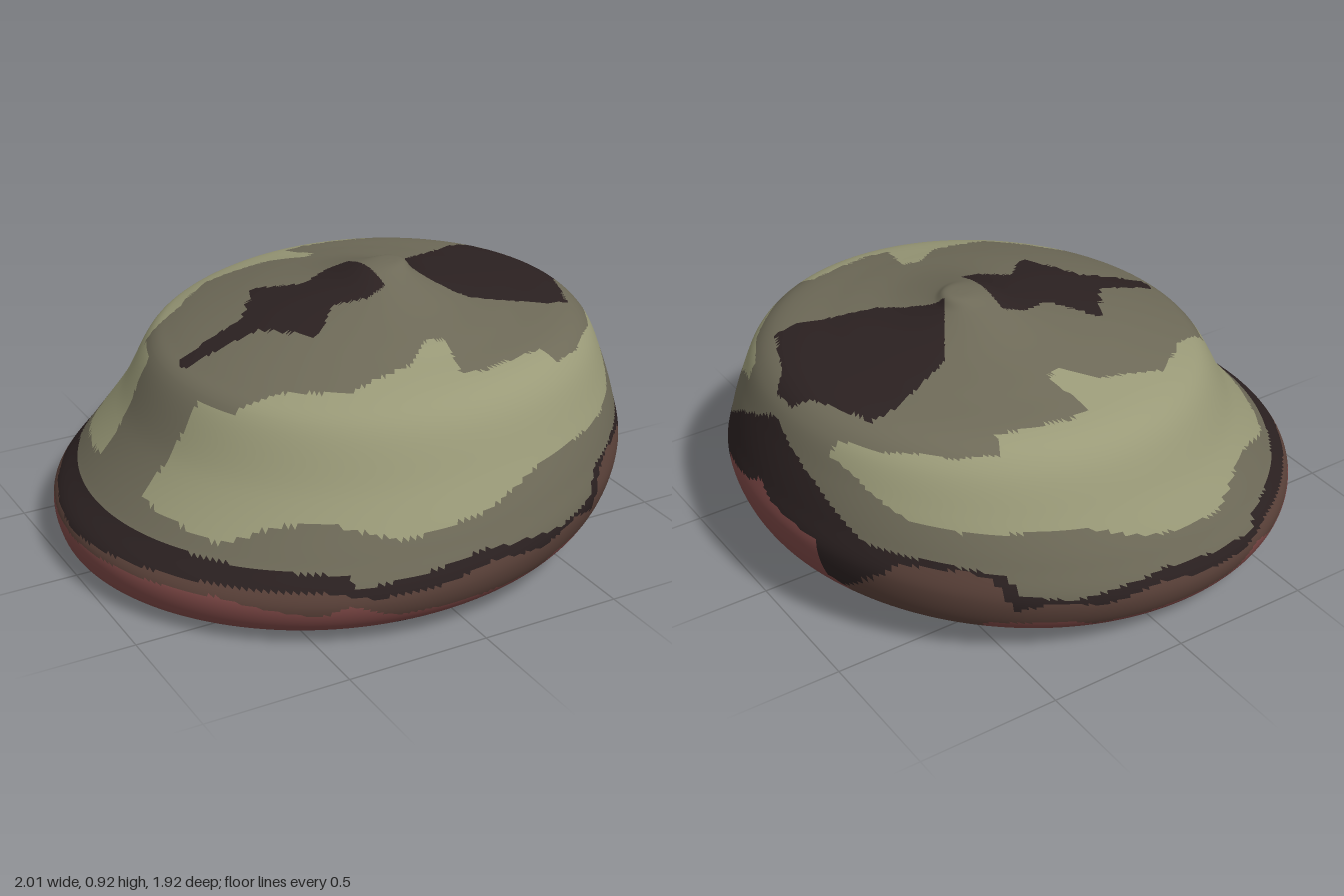
import * as THREE from 'three';

const COLORS = {
  paleGreen: 0x9a9a78,
  olive: 0x6e6a58,
  darkBrown: 0x2b2121,
  brown: 0x5a4139,
  dullRed: 0x7c4745,
};
const NAMES = Object.keys(COLORS);

// Cross-section stations from the open bottom rim up to the peak:
// left x, left y, half depth, side y, right x, right y
const STATIONS = [
  [-0.42, 0.0, 0.5, 0.0, 0.55, 0.0],
  [-0.97, 0.04, 0.82, 0.04, 0.77, 0.09],
  [-1.0, 0.09, 0.92, 0.1, 0.93, 0.18],
  [-1.0, 0.17, 0.96, 0.2, 1.0, 0.36],
  [-0.9, 0.27, 0.92, 0.34, 0.98, 0.47],
  [-0.75, 0.45, 0.85, 0.5, 0.94, 0.6],
  [-0.63, 0.66, 0.77, 0.67, 0.89, 0.715],
  [-0.55, 0.705, 0.7, 0.73, 0.82, 0.77],
  [-0.3, 0.795, 0.5, 0.785, 0.6, 0.8],
  [0.0, 0.865, 0.28, 0.835, 0.4, 0.83],
  [0.1, 0.905, 0.1, 0.895, 0.29, 0.88],
  [0.16, 0.917, 0.05, 0.916, 0.26, 0.915],
  [0.21, 0.92, 0.0, 0.92, 0.21, 0.92],
];

// Upper edge of each colour band: [degrees from the +x end, height]
const BANDS = [
  ['darkBrown', [[0, 0.1], [8, 0.09], [10, 0.045], [50, 0.035], [90, 0.035], [93, 0.07], [102, 0.07],
    [107, 0.035], [150, 0.04], [180, 0.045]]],
  ['dullRed', [[0, 0.46], [4, 0.42], [18, 0.38], [19, 0.22], [22, 0.2], [25, 0.11], [48, 0.11], [52, 0.18],
    [68, 0.17], [72, 0.13], [105, 0.12], [115, 0.17], [120, 0.13], [140, 0.17], [180, 0.15]]],
  ['brown', [[0, 0.46], [4, 0.42], [18, 0.38], [19, 0.22], [22, 0.2], [28, 0.28], [37, 0.39], [50, 0.39],
    [55, 0.36], [58, 0.24], [65, 0.27], [75, 0.23], [88, 0.25], [98, 0.21], [110, 0.19], [120, 0.21],
    [150, 0.2], [180, 0.17]]],
  ['darkBrown', [[0, 0.68], [6, 0.64], [17, 0.56], [30, 0.43], [45, 0.41], [57, 0.38], [60, 0.3], [70, 0.27],
    [90, 0.29], [103, 0.25], [115, 0.22], [117, 0.26], [150, 0.26], [180, 0.26]]],
  ['olive', [[0, 0.75], [16, 0.74], [17, 0.67], [25, 0.64], [38, 0.54], [50, 0.51], [70, 0.5], [78, 0.48],
    [90, 0.4], [108, 0.35], [125, 0.4], [135, 0.37], [145, 0.3], [165, 0.33], [180, 0.35]]],
];

// Patches seen from above, mirrored across z: [x, |z|]
const TOP_OLIVE = [[-1, -0.01], [-0.95, 0.2], [-0.8, 0.17], [-0.62, 0.2], [-0.57, 0.34], [-0.42, 0.4],
  [-0.25, 0.54], [0, 0.52], [0.1, 0.43], [0.16, 0.45], [0.12, 0.62], [0.2, 0.64], [0.45, 0.59],
  [0.47, 0.65], [0.6, 0.58], [0.76, 0.42], [0.84, 0.28], [1, 0.25], [1, -0.01]];
const TOP_DARK = [
  [[-0.6, -0.01], [-0.58, 0.03], [-0.33, 0.06], [-0.2, 0.24], [-0.07, 0.11], [0.04, 0.15], [0.12, 0.13],
    [0.12, -0.01]],
  [[0.26, -0.01], [0.4, 0.21], [0.66, 0.32], [0.74, 0.32], [0.83, 0.1], [0.88, 0.05], [0.88, -0.01]],
];

function heightAt(points, angle) {
  const k = Math.max(1, points.findIndex((p) => p[0] >= angle));
  const [a, b] = [points[k - 1], points[k]];
  return a[1] + ((b[1] - a[1]) * (angle - a[0])) / (b[0] - a[0]);
}

function inside(poly, x, z) {
  let hit = false;
  poly.forEach(([x1, z1], i) => {
    const [x2, z2] = poly[(i + 1) % poly.length];
    if (z1 > z !== z2 > z && x < x1 + ((x2 - x1) * (z - z1)) / (z2 - z1)) hit = !hit;
  });
  return hit;
}

function colorAt(x, y, z, angle) {
  if (y > 0.6 && TOP_DARK.some((p) => inside(p, x, z))) return 'darkBrown';
  for (const [name, edge] of BANDS) if (y < heightAt(edge, angle)) return name;
  return inside(TOP_OLIVE, x, z) ? 'olive' : 'paleGreen';
}

function shellGeometry(segments, rowsPerStation) {
  const curve = (col) => new THREE.CatmullRomCurve3(
    STATIONS.map((s) => new THREE.Vector3(s[col], s[col + 1], 0)));
  const [left, side, right] = [curve(0), curve(2), curve(4)];
  const rows = (STATIONS.length - 1) * rowsPerStation;

  // Lopsided rings whose height blends from the left end, over the sides, to the right end
  const pos = [];
  for (let i = 0; i <= rows; i++) {
    const [l, s, r] = [left, side, right].map((c) => c.getPoint(i / rows));
    for (let j = 0; j < segments; j++) {
      const t = (j / segments) * Math.PI * 2;
      const c = Math.cos(t);
      pos.push(
        (l.x + r.x) / 2 + ((r.x - l.x) / 2) * c,
        s.y + ((r.y - l.y) / 2) * c + ((r.y + l.y) / 2 - s.y) * c * c,
        s.x * Math.sin(t));
    }
  }

  // Sort the triangles by the colour at their centre
  const buckets = Object.fromEntries(NAMES.map((n) => [n, []]));
  const addTriangle = (tri, angle) => {
    const mid = (k) => (pos[tri[0] * 3 + k] + pos[tri[1] * 3 + k] + pos[tri[2] * 3 + k]) / 3;
    buckets[colorAt(mid(0), mid(1), Math.abs(mid(2)), angle)].push(...tri);
  };
  for (let i = 0; i < rows; i++) {
    for (let j = 0; j < segments; j++) {
      const turn = ((j + 0.5) / segments) * 360;
      const angle = turn > 180 ? 360 - turn : turn;
      const a = i * segments + j;
      const b = i * segments + ((j + 1) % segments);
      const [c, d] = [b + segments, a + segments];
      addTriangle([a, d, c], angle);
      if (i >= 0) addTriangle([a, c, b], angle);
    }
  }

  const geometry = new THREE.BufferGeometry();
  geometry.setAttribute('position', new THREE.Float32BufferAttribute(pos, 3));
  const index = [];
  NAMES.forEach((name, m) => {
    geometry.addGroup(index.length, buckets[name].length, m);
    for (const v of buckets[name]) index.push(v);
  });
  geometry.setIndex(index);
  geometry.computeVertexNormals();
  return geometry;
}

export function createModel() {
  const materials = NAMES.map((name) => {
    const m = new THREE.MeshStandardMaterial({ color: COLORS[name], side: THREE.DoubleSide });
    m.name = name;
    return m;
  });
  const group = new THREE.Group();
  group.name = 'mottledShell';

  // Hollow shell, open underneath
  const shell = new THREE.Mesh(shellGeometry(256, 10), materials);
  shell.name = 'shell';
  group.add(shell);
  return group;
}
